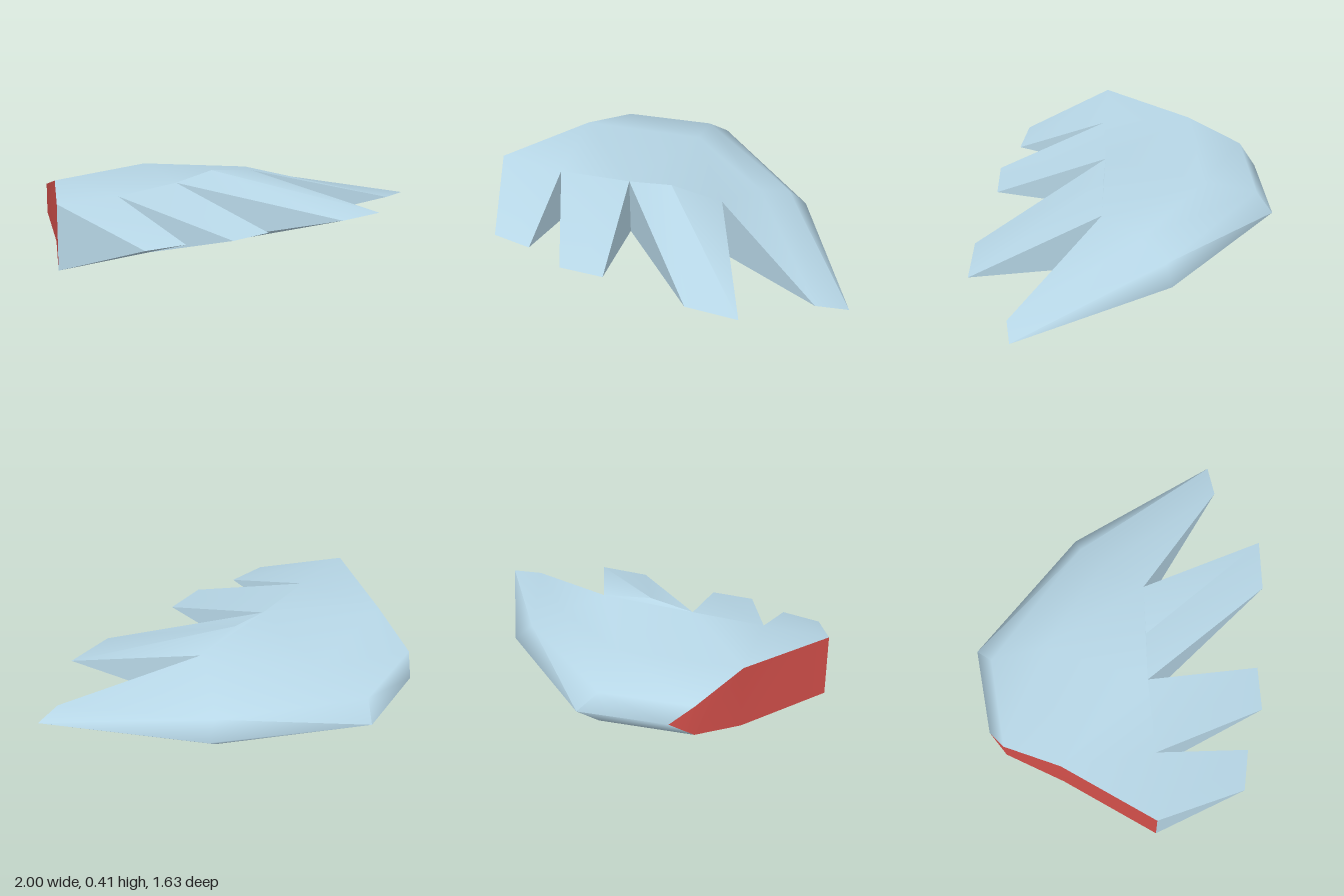
import * as THREE from 'three';
import { toCreasedNormals } from 'three/addons/utils/BufferGeometryUtils.js';

const MID = 0.2; // height of the mirror plane

// Corners of the upper half: x, height above the mirror plane, z
const P = {
  // knuckle line
  A: [-1, 0.165, -0.01], B: [-0.65, 0.155, 0.04], C: [-0.26, 0.167, 0.06],
  D: [-0.02, 0.203, 0.088], E: [0.26, 0.167, 0.12],
  // finger tips, thinned to an edge
  a1: [-0.88, 0, 0.472], a2: [-0.67, 0, 0.53], b1: [-0.465, 0, 0.645], b2: [-0.23, 0, 0.665],
  c1: [0.22, 0, 0.782], c2: [0.495, 0, 0.814], d1: [0.835, 0, 0.623], d2: [1, 0, 0.612],
  // rim
  H: [-0.37, 0, -0.8], I: [0.09, 0, -0.815], J: [0.66, 0, -0.2],
  // bevel ring and flat top
  G: [-0.48, 0.08, -0.73], K: [0, 0.08, -0.74], M: [0.57, 0.08, -0.18],
  F: [-0.65, 0.165, -0.45], L: [0, 0.165, -0.45], N: [0.43, 0.137, -0.07],
};

// A trailing ' on a corner name means its mirror image below the plane
const corner = (name) => {
  const [x, h, z] = P[name.replace("'", '')];
  return [x, MID + (name.endsWith("'") ? -h : h), z];
};

// Fan each face into triangles; optionally add the mirrored faces
function build(faces, mirrored, crease) {
  const list = faces.map((f) => f.split(' '));
  if (mirrored) {
    list.push(...list.map(([first, ...rest]) => [first, ...rest.reverse()].map((n) => n + "'")));
  }
  const pos = [];
  for (const f of list) {
    for (let i = 1; i < f.length - 1; i++) {
      pos.push(...corner(f[0]), ...corner(f[i]), ...corner(f[i + 1]));
    }
  }
  const geo = new THREE.BufferGeometry();
  geo.setAttribute('position', new THREE.Float32BufferAttribute(pos, 3));
  geo.computeVertexNormals();
  return toCreasedNormals(geo, crease);
}

export function createModel() {
  const blue = new THREE.MeshStandardMaterial({ color: 0xb8d8e8 });
  blue.name = 'paleBlue';
  const red = new THREE.MeshStandardMaterial({ color: 0xd4504b });
  red.name = 'red';

  const model = new THREE.Group();
  model.name = 'clawedPaddle';
  const add = (name, geo, mat) => {
    const mesh = new THREE.Mesh(geo, mat);
    mesh.name = name;
    model.add(mesh);
  };

  // Smooth skin: four fingers, knuckle step, palm, bevel and rounded rim
  add('shell', build([
    'A a1 a2 B', 'B b1 b2 C', 'D C c1 c2 E', 'C D E',
    'E d1 N', 'N d1 M', 'M d1 d2', 'M d2 J',
    'F A B', 'F B C', 'F C L', 'L C E', 'L E N',
    'G F L K', 'K L N M', 'H G K I', 'I K M J',
  ], true, 1.8), blue);

  // Flat side walls of the fingers
  add('fingerSides', build([
    "A A' a1", "B a2 B'", "B B' b1", "C b2 C'", "C C' c1", "E c2 E'", "E E' d1",
  ], false, 0.1), blue);

  // Cut end
  add('cutEnd', build(["A F F' A'", "F G G' F'", "G H G'"], false, 0.7), red);

  return model;
}
